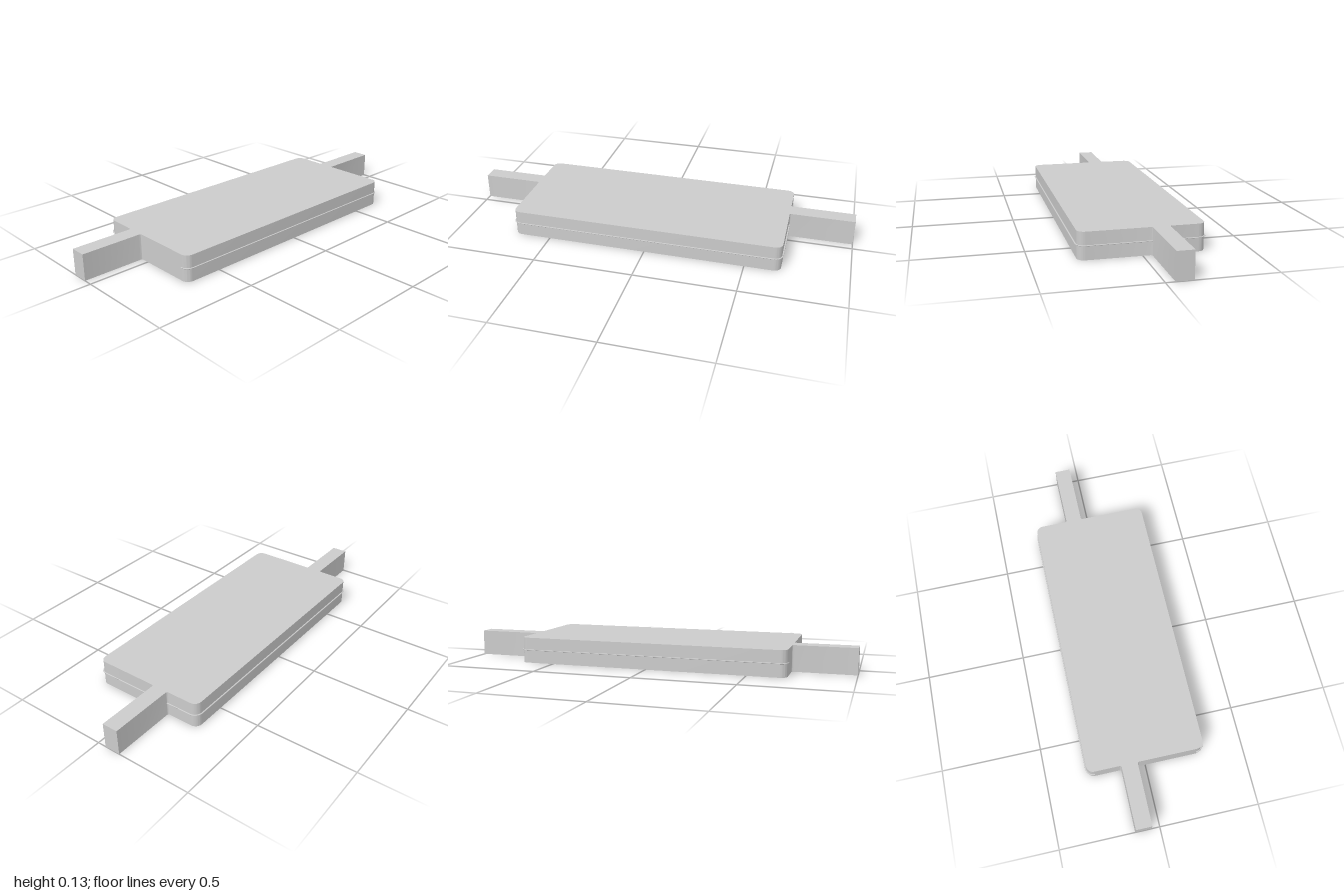
import * as THREE from 'three';
import { toCreasedNormals } from 'three/addons/utils/BufferGeometryUtils.js';

const H = 0.13;                    // overall height
const W = 0.292, R = 0.035, F = 0.01; // half width, corner radius, neck fillet
const N0 = -0.123, N1 = -0.043;    // neck sides
const FRONT = 0.69, BACK = 0.675;  // body ends

const material = new THREE.MeshStandardMaterial({ color: 0xcccccc, side: THREE.DoubleSide });

function add(parent, name, geometry, x = 0, y = 0, z = 0) {
  const mesh = new THREE.Mesh(geometry, material);
  mesh.name = name;
  mesh.position.set(x, y, z);
  parent.add(mesh);
  return mesh;
}

// Plan outline, counter-clockwise, with shape y = -z
function outline() {
  const s = new THREE.Shape();
  s.moveTo(N0, -1);
  s.lineTo(N1, -1);
  s.lineTo(N1, -FRONT - F);
  s.quadraticCurveTo(N1, -FRONT, N1 + F, -FRONT);
  s.absarc(W - R, -FRONT + R, R, -Math.PI / 2, 0);
  s.absarc(W - R, BACK - R, R, 0, Math.PI / 2);
  s.lineTo(N1 + F, BACK);
  s.quadraticCurveTo(N1, BACK, N1, BACK + F);
  s.lineTo(N1, 1);
  s.lineTo(N0, 1);
  s.lineTo(N0, BACK + F);
  s.quadraticCurveTo(N0, BACK, N0 - F, BACK);
  s.absarc(-W + R, BACK - R, R, Math.PI / 2, Math.PI);
  s.absarc(-W + R, -FRONT + R, R, Math.PI, Math.PI * 1.5);
  s.lineTo(N0 - F, -FRONT);
  s.quadraticCurveTo(N0, -FRONT, N0, -FRONT - F);
  s.closePath();
  return s;
}

// Vertical wall following the outline
function wallGeometry(shape) {
  const pts = shape.getPoints(8);
  const pos = [];
  for (let i = 0; i < pts.length; i++) {
    const p = pts[i], q = pts[(i + 1) % pts.length];
    if (p.distanceTo(q) < 1e-6) continue;
    const a = [p.x, 0, -p.y], b = [q.x, 0, -q.y], c = [q.x, H, -q.y], d = [p.x, H, -p.y];
    pos.push(...a, ...b, ...c, ...a, ...c, ...d);
  }
  const g = new THREE.BufferGeometry();
  g.setAttribute('position', new THREE.Float32BufferAttribute(pos, 3));
  return toCreasedNormals(g, 0.6);
}

// Thin bead running round one side of the body, from neck to neck
function beadGeometry(side) {
  const o = 0.003, neck = side > 0 ? N1 : -N0;
  const path = new THREE.Path();
  path.moveTo(neck, -FRONT - o);
  path.absarc(W - R, -FRONT + R, R + o, -Math.PI / 2, 0);
  path.absarc(W - R, BACK - R, R + o, 0, Math.PI / 2);
  path.lineTo(neck, BACK + o);
  const pts = path.getPoints(8).map(p => new THREE.Vector3(side * p.x, 0, -p.y));
  const curve = new THREE.CurvePath();
  for (let i = 1; i < pts.length; i++) {
    if (pts[i].distanceTo(pts[i - 1]) > 1e-6) curve.add(new THREE.LineCurve3(pts[i - 1], pts[i]));
  }
  const g = new THREE.TubeGeometry(curve, 240, 0.004, 8, false);
  return g.scale(1, 0.6, 1);
}

export function createModel() {
  const model = new THREE.Group();
  model.name = 'openTrayCover';

  // Shell, open underneath
  const shape = outline();
  add(model, 'topPanel', new THREE.ShapeGeometry(shape, 8).rotateX(-Math.PI / 2), 0, H, 0);
  add(model, 'sideWall', wallGeometry(shape));
  add(model, 'leftBead', beadGeometry(1), 0, 0.067, 0);
  add(model, 'rightBead', beadGeometry(-1), 0, 0.067, 0);

  // Fittings under the top panel
  const mount = new THREE.Group();
  mount.name = 'innerMount';
  mount.position.set(-0.075, H, 0.085);
  model.add(mount);
  add(mount, 'mountPlate', new THREE.BoxGeometry(0.2, 0.006, 0.31), 0, -0.004, 0);
  add(mount, 'mountBoss', new THREE.CylinderGeometry(0.02, 0.02, 0.01, 20), 0, -0.011, 0);
  for (const s of [-1, 1]) {
    add(mount, 'mountPin', new THREE.CylinderGeometry(0.008, 0.008, 0.07, 12), s * 0.05, -0.04, 0);
  }
  return model;
}
